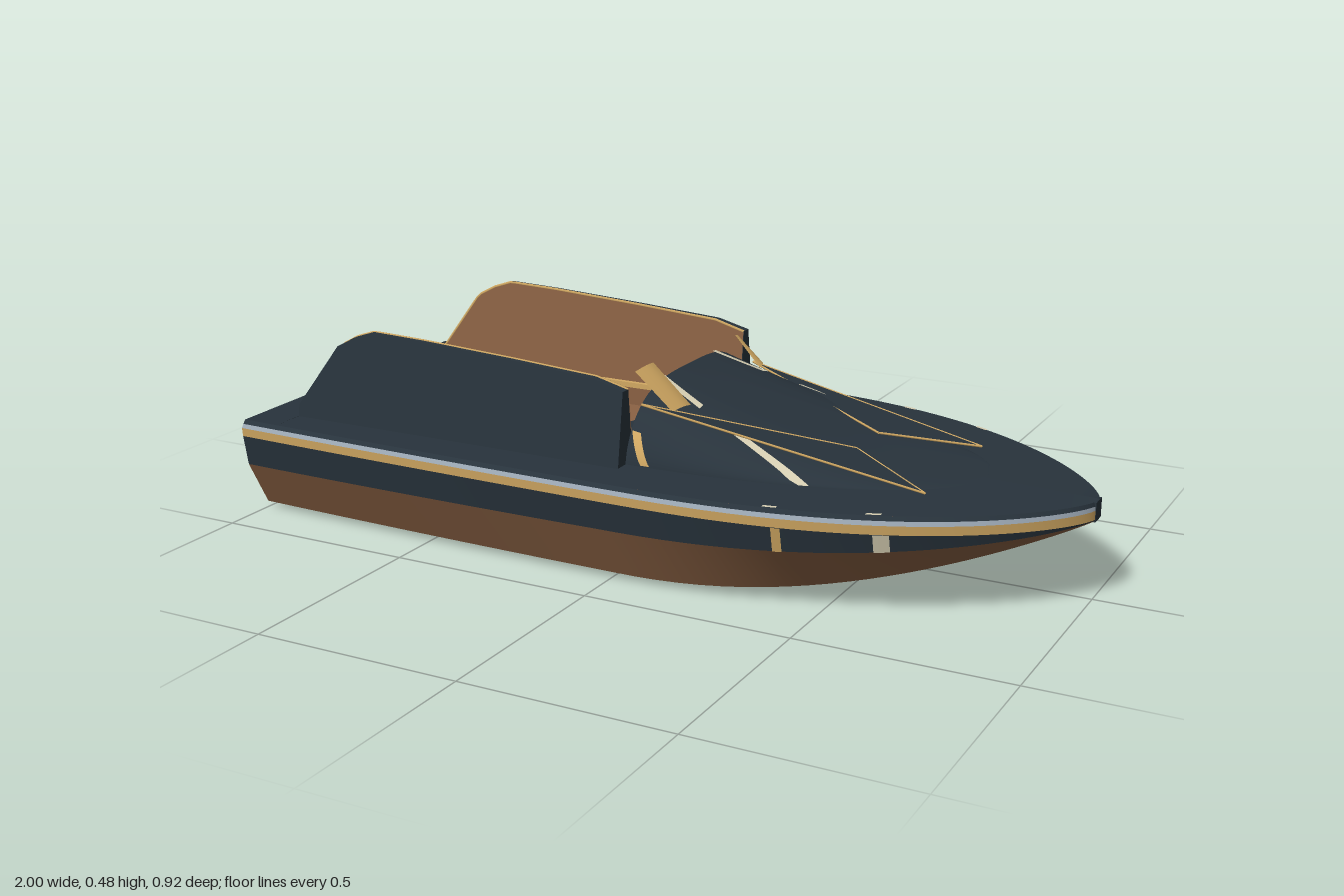
import * as THREE from 'three';

const mat = (name, color) =>
  new THREE.MeshStandardMaterial({ name, color, side: THREE.DoubleSide });

export function createModel() {
  const navy = mat('navy', 0x28333c), brown = mat('brown', 0x8b6244);
  const gold = mat('gold', 0xd2a963), cream = mat('cream', 0xd6ceb2), grey = mat('grey', 0x98a4b0);
  const boat = new THREE.Group();
  boat.name = 'boat';

  const add = (name, geo, material) => {
    const m = new THREE.Mesh(geo, material);
    m.name = name;
    boat.add(m);
    return m;
  };
  const box = (name, material, x0, x1, y0, y1, z0, z1) =>
    add(name, new THREE.BoxGeometry(x1 - x0, y1 - y0, Math.abs(z1 - z0)), material)
      .position.set((x0 + x1) / 2, (y0 + y1) / 2, (z0 + z1) / 2);

  // Smooth sheet of points f(u, v), each [x, y, z]; side = -1 mirrors it in z
  const sheet = (name, material, f, nu, nv, side = 1) => {
    const pos = [], idx = [];
    for (let i = 0; i <= nu; i++) for (let j = 0; j <= nv; j++) {
      const [x, y, z] = f(i / nu, j / nv);
      pos.push(x, y, z * side);
    }
    for (let i = 0; i < nu; i++) for (let j = 0; j < nv; j++) {
      const a = i * (nv + 1) + j, b = a + nv + 1;
      if (side > 0) idx.push(a, a + 1, b, b, a + 1, b + 1);
      else idx.push(a, b, a + 1, b, b + 1, a + 1);
    }
    const g = new THREE.BufferGeometry();
    g.setAttribute('position', new THREE.Float32BufferAttribute(pos, 3));
    g.setIndex(idx);
    g.computeVertexNormals();
    return add(name, g, material);
  };
  // Band between two lines along the hull, denser towards the bow
  const band = (name, material, a, b, x0, x1, side) =>
    sheet(name, material, (u, v) => {
      const x = x0 + (x1 - x0) * (1 - (1 - u) ** 2);
      const p = a(x), q = b(x);
      return [x, p[0] + (q[0] - p[0]) * v, p[1] + (q[1] - p[1]) * v];
    }, 48, 1, side);

  // Hull lines: x -> [y, z]
  const fore = x => Math.max(x, 0);
  const beam = x => x <= 0 ? 0.462 - 0.022 * x * x : 0.02 + 0.442 * Math.max(0, 1 - x ** 2.5) ** 0.75;
  const sheer = x => 0.249 - 0.017 * fore(x) ** 2 - 0.004 * Math.min(x, 0) ** 2;
  const bottom = x => 0.005 + 0.183 * fore(x) ** 2.2;
  const floorWidth = x => beam(x) * (0.825 - 0.35 * fore(x) ** 2);
  const lines = {
    keel: x => [bottom(x) - 0.005 * (1 - fore(x)), 0],
    bilge: x => [bottom(x), floorWidth(x) * 0.93],
    turn: x => [bottom(x) + 0.01 * (1 - fore(x)), floorWidth(x)],
    chine: x => [0.14 + 0.01 * Math.min(x, 0) + 0.052 * fore(x) ** 2, beam(x) * 0.965],
    goldLow: x => [sheer(x) - 0.039, beam(x) * 0.995],
    goldTop: x => [sheer(x) - 0.018, beam(x)],
    greyTop: x => [sheer(x) - 0.009, beam(x) - 0.006],
    sheer: x => [sheer(x), Math.max(beam(x) - 0.014, 0.006)],
    centre: x => [sheer(x) + 0.003, 0],
    opening: x => [sheer(x), 0.28],
  };

  // Cabin roof: x along, s from 0 (centre) to 1 (edge)
  const cabin = (x, s, lift = 0) => {
    const w = 0.31 * Math.sqrt(Math.max(0, 1 - (x / 0.75) ** 2)), k = Math.sin(s * Math.PI / 2);
    const h = 0.165 * Math.max(0, 1 - x / 0.75) ** 1.65 * Math.max(0, 1 - k ** 3.5) ** 0.62;
    return [x, 0.247 + h + lift, w * k + lift * k];
  };
  const cabinAt = (x, z, lift) => {
    const w = 0.31 * Math.sqrt(1 - (x / 0.75) ** 2);
    return cabin(x, Math.asin(Math.min(1, z / w)) * 2 / Math.PI, lift);
  };

  // Outline of the cockpit side panel; both faces lean inward or outward with height
  const outline = [[-0.9, 0.245], [-0.9, 0.275], [-0.79, 0.43], [-0.74, 0.457], [-0.69, 0.474],
    [-0.55, 0.47], [-0.3, 0.457], [-0.08, 0.443], [0, 0.422], [0, 0.245]];
  const panelShape = new THREE.Shape(outline.map(p => new THREE.Vector2(...p)));
  const rise = y => (y - 0.245) / 0.23;
  const outerZ = y => 0.345 - 0.033 * rise(y);
  const innerZ = y => 0.276 + 0.024 * rise(y);

  for (const side of [1, -1]) {
    // Hull skin
    [['hullBottom', brown, 'keel', 'bilge'], ['hullBilge', brown, 'bilge', 'turn'],
      ['lowerHullSide', brown, 'turn', 'chine'], ['upperHullSide', navy, 'chine', 'goldLow'],
      ['goldRubStrip', gold, 'goldLow', 'goldTop'], ['gunwaleTrim', grey, 'goldTop', 'greyTop'],
      ['deckEdge', navy, 'greyTop', 'sheer'],
    ].forEach(([n, m, a, b]) => band(n, m, lines[a], lines[b], -1, 1, side));

    // Deck around the cockpit
    band('aftDeck', navy, lines.sheer, lines.centre, -1, -0.9, side);
    band('sideDeck', navy, lines.sheer, lines.opening, -0.9, 0, side);
    band('foreDeck', navy, lines.sheer, lines.centre, 0, 1, side);

    // Painted marks on the hull sides and deck edge
    const out = f => x => [f(x)[0], f(x)[1] + 0.003];
    for (const [x0, x1, m] of [[0.415, 0.435, gold], [0.62, 0.652, cream]])
      band('hullMark', m, out(lines.chine), out(lines.goldLow), x0, x1, side);
    for (const x of [0.39, 0.6])
      band('deckEdgeMark', cream, t => [sheer(t) + 0.002, beam(t) - 0.013],
        t => [sheer(t) + 0.002, beam(t) - 0.023], x, x + 0.03, side);
    box('aftDeckMark', cream, -1, -0.9, 0.246, 0.252, side * 0.12, side * 0.138);

    // Cabin half and its rear bulkhead
    sheet('cabinRoof', navy, (u, v) => cabin(u * 0.75, v), 28, 20, side);
    sheet('cabinBulkhead', navy, (u, v) => {
      const p = cabin(0, v);
      return [0, 0.19 + (p[1] - 0.19) * u, p[2]];
    }, 1, 20, side);

    // Painted stripes on the roof and the cabin corner
    for (const [x0, x1] of [[0, 0.12], [0.2, 0.43]])
      sheet('roofStripe', cream, (u, v) => {
        const x = x0 + (x1 - x0) * u;
        return cabinAt(x, 0.12 + 0.32 * x + v * 0.018, 0.004);
      }, 10, 2, side);
    sheet('cabinCornerMark', gold, (u, v) => cabin(0.005 + u * 0.035 + v * 0.022, 0.73 + 0.25 * u, 0.004), 10, 2, side);

    // Cockpit side panel
    const g = new THREE.ExtrudeGeometry(panelShape, { depth: 1, bevelEnabled: false });
    const p = g.attributes.position;
    for (let i = 0; i < p.count; i++)
      p.setZ(i, side * (p.getZ(i) > 0.5 ? outerZ : innerZ)(p.getY(i)));
    if (side < 0) for (let i = 0; i < p.count; i += 3) {
      const a = new THREE.Vector3().fromBufferAttribute(p, i);
      const b = new THREE.Vector3().fromBufferAttribute(p, i + 1);
      p.setXYZ(i, b.x, b.y, b.z);
      p.setXYZ(i + 1, a.x, a.y, a.z);
    }
    g.computeVertexNormals();
    add('cockpitSidePanel', g, navy);

    // Brown lining on the inner face
    const lining = new THREE.ShapeGeometry(panelShape);
    const lp = lining.attributes.position;
    for (let i = 0; i < lp.count; i++) lp.setZ(i, side * (innerZ(lp.getY(i)) - 0.0025));
    lining.computeVertexNormals();
    add('panelLining', lining, brown);

    // Gold edging on the panel and gold rail below it
    const edge = new THREE.CurvePath();
    const pts = outline.slice(1, -1).map(([x, y]) => new THREE.Vector3(x, y - 0.001, side * innerZ(y)));
    pts.slice(1).forEach((q, i) => edge.add(new THREE.LineCurve3(pts[i], q)));
    add('panelEdging', new THREE.TubeGeometry(edge, 60, 0.004, 5), gold);
    box('cockpitRail', gold, -0.9, -0.12, 0.243, 0.256, side * 0.262, side * 0.279);
    box('cockpitWall', brown, -0.9, 0, 0.19, 0.243, side * 0.27, side * 0.28);

    // Low dashboard console
    const c = new THREE.Shape([[-0.14, 0.275], [-0.1, 0.09], [0, 0.08], [0, 0.275]]
      .map(([x, z]) => new THREE.Vector2(x, -side * z)));
    const consoleGeo = new THREE.ExtrudeGeometry(c, { depth: 0.09, bevelEnabled: false });
    add('dashConsole', consoleGeo.rotateX(-Math.PI / 2).translate(0, 0.19, 0), navy);

    // Raised triangular vane with gold edges
    const tri = [[0.03, side > 0 ? 0.39 : 0.35, 0.288], [0.46, 0.288, 0.065], [0.67, 0.252, 0.185]]
      .map(([x, y, z]) => new THREE.Vector3(x, y, z * side));
    const vane = new THREE.BufferGeometry().setFromPoints(side > 0 ? [tri[0], tri[2], tri[1]] : tri);
    vane.computeVertexNormals();
    add('roofVane', vane, navy);
    tri.forEach((q, i) => add('vaneEdge',
      new THREE.TubeGeometry(new THREE.LineCurve3(q, tri[(i + 1) % 3]), 1, 0.0028, 5).translate(0, -0.001, 0), gold));
  }

  // Small curved wind deflectors, one taller than the other
  const deflector = (a, b, c, d) => sheet('windDeflector', gold, (u, v) => {
    const bulge = 0.005 * Math.sin(u * Math.PI);
    return [0, 1, 2].map(k =>
      (a[k] * (1 - u) + b[k] * u) * (1 - v) + (d[k] * (1 - u) + c[k] * u) * v + (k < 2 ? bulge : 0));
  }, 8, 1);
  deflector([0, 0.455, 0.262], [0.02, 0.467, 0.213], [0.1, 0.37, 0.183], [0.08, 0.365, 0.235]);
  deflector([0, 0.41, -0.258], [0.02, 0.435, -0.205], [0.1, 0.368, -0.18], [0.08, 0.365, -0.235]);

  // Cockpit floor and rear wall
  box('cockpitFloor', brown, -0.9, 0, 0.185, 0.195, -0.28, 0.28);
  box('cockpitRearWall', brown, -0.905, -0.895, 0.19, 0.246, -0.28, 0.28);

  // Transom with its painted stripe
  const half = ['bilge', 'turn', 'chine', 'goldLow', 'goldTop', 'greyTop', 'sheer'].map(n => lines[n](-1));
  const section = [...half, ...half.map(([y, z]) => [y, -z]).reverse()]
    .map(([y, z]) => new THREE.Vector2(z, y));
  add('transom', new THREE.ShapeGeometry(new THREE.Shape(section)).rotateY(-Math.PI / 2).translate(-1, 0, 0), navy);
  box('transomStripe', cream, -1.002, -0.998, 0.005, 0.248, -0.138, -0.126);

  // Blunt nose cap
  box('noseCap', navy, 0.994, 1.001, 0.187, 0.232, -0.021, 0.021);

  return boat;
}
